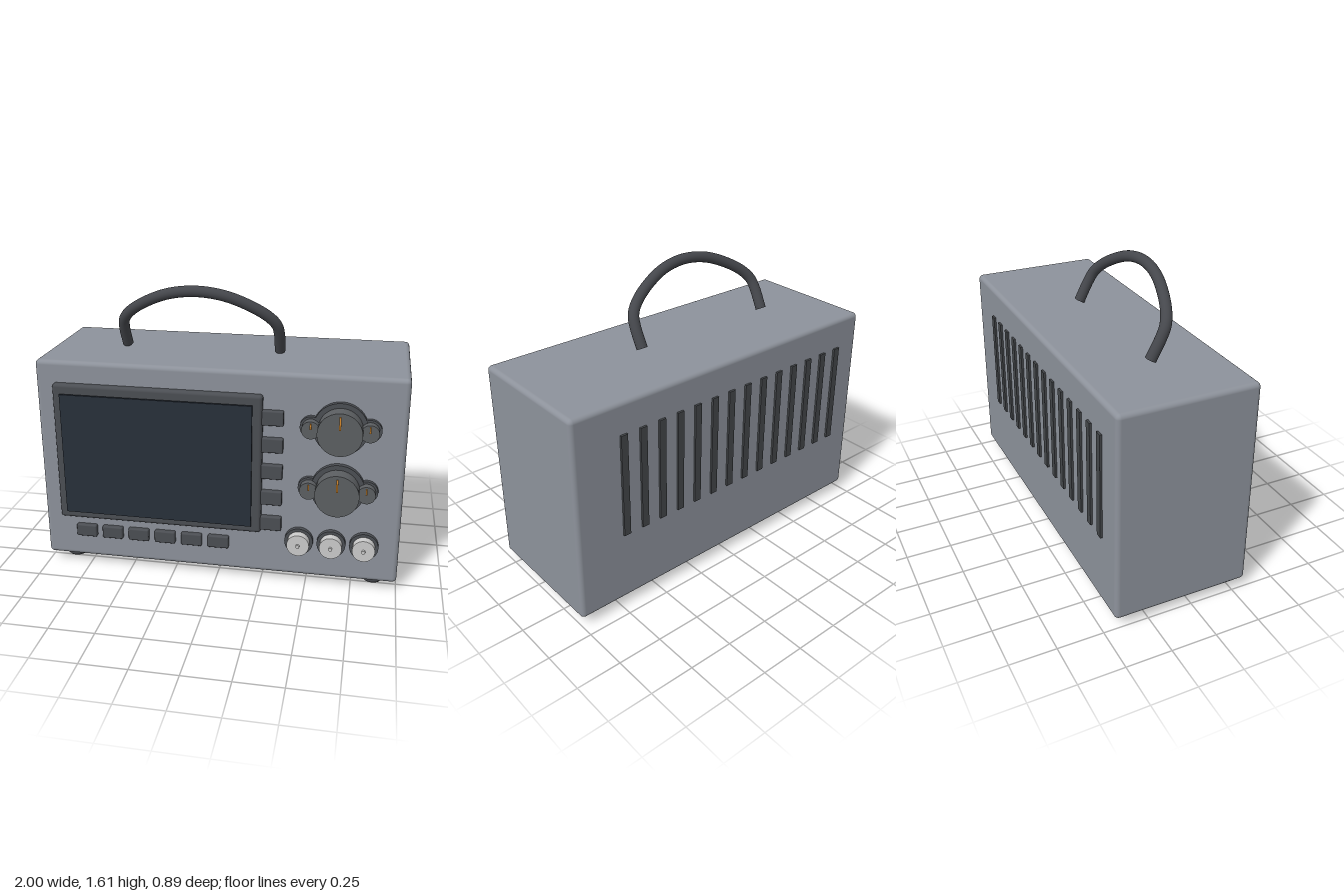
import * as THREE from 'three';
import { RoundedBoxGeometry } from 'three/addons/geometries/RoundedBoxGeometry.js';

const FRONT = 0.327, BACK = -0.433;

export function createModel() {
  const model = new THREE.Group();
  model.name = 'benchInstrument';
  const mat = (color) => new THREE.MeshStandardMaterial({ color });
  const shell = mat(0x8d929b), dark = mat(0x4b4e53), knobGrey = mat(0x5c5f62);
  const rubber = mat(0x45474c), glass = mat(0x28303a), metal = mat(0xcccccc);
  const orange = mat(0xd98a2b), slot = mat(0x44474a);

  const add = (name, geometry, material, x, y, z, parent = model) => {
    const mesh = new THREE.Mesh(geometry, material);
    mesh.name = name;
    mesh.position.set(x, y, z);
    parent.add(mesh);
    return mesh;
  };
  // Box spanning z0..z1, with optional rounded edges
  const box = (name, material, x, y, w, h, z0, z1, r = 0, parent = model) => add(name,
    r ? new RoundedBoxGeometry(w, h, z1 - z0, 3, r) : new THREE.BoxGeometry(w, h, z1 - z0),
    material, x, y, (z0 + z1) / 2, parent);
  // Cylinder lying along z, spanning z0..z1
  const disc = (name, material, x, y, r, z0, z1, parent = model) => add(name,
    new THREE.CylinderGeometry(r, r, z1 - z0, 40).rotateX(Math.PI / 2),
    material, x, y, (z0 + z1) / 2, parent);

  // Case
  box('case', shell, 0, 0.635, 2, 1.17, BACK, FRONT, 0.025);

  // Display: bezel with a thin glass panel standing just in front of it
  box('screenBezel', dark, -0.325, 0.7025, 1.15, 0.795, FRONT - 0.02, 0.36, 0.018);
  box('screenGlass', glass, -0.325, 0.7025, 1.05, 0.695, 0.373, 0.387);

  // Keys beside and below the display
  for (let i = 0; i < 5; i++)
    box('sideKey', dark, 0.302, 0.976 - i * 0.153, 0.118, 0.083, FRONT - 0.01, 0.353, 0.008);
  for (let i = 0; i < 6; i++)
    box('bottomKey', dark, -0.755 + i * 0.153, 0.222, 0.118, 0.072, FRONT - 0.01, 0.353, 0.008);

  // Rotary control: collar, knob and pointer mark
  const rotary = (name, x, y, collarR, knobR, knobZ, markOffset, markW, markH) => {
    const group = new THREE.Group();
    group.name = name;
    model.add(group);
    disc('collar', dark, x, y, collarR, FRONT - 0.005, collarR > 0.1 ? 0.355 : 0.351, group);
    disc('knob', knobGrey, x, y, knobR, FRONT, knobZ, group);
    box('pointer', orange, x, y + markOffset, markW, markH, knobZ - 0.005, knobZ + 0.008, 0, group);
  };
  for (const y of [0.941, 0.597]) {
    rotary('largeKnob', 0.658, y, 0.143, 0.117, 0.437, 0.063, 0.01, 0.07);
    for (const s of [-1, 1])
      rotary('smallKnob', 0.658 + s * 0.152, y, 0.06, 0.048, 0.395, 0.022, 0.008, 0.032);
  }

  // Input sockets
  for (let i = 0; i < 3; i++) {
    const x = 0.46 + i * 0.1765, y = 0.27;
    disc('socketCollar', dark, x, y, 0.078, FRONT - 0.005, 0.353);
    disc('socketBarrel', metal, x, y, 0.061, FRONT, 0.4);
    disc('socketPin', metal, x, y, 0.01, 0.39, 0.414);
  }

  // Vent bars on the back
  for (let i = 0; i < 14; i++)
    box('backVent', slot, -0.823 + i * 0.1175, 0.751, 0.04, 0.588, BACK - 0.012, BACK + 0.01);

  // Feet with a chamfered lower edge
  const footShape = [[0, 0], [0.05, 0], [0.057, 0.008], [0.057, 0.06]]
    .map(([r, y]) => new THREE.Vector2(r, y));
  const footGeometry = new THREE.LatheGeometry(footShape, 32);
  for (const x of [-0.87, 0.87])
    for (const z of [0.204, -0.302]) add('foot', footGeometry, rubber, x, 0, z);

  // Carrying handle, tilted forward about its base
  const handle = new THREE.Group();
  handle.name = 'handle';
  handle.position.set(-0.148, 1.236, -0.05);
  handle.rotation.x = THREE.MathUtils.degToRad(27.4);
  model.add(handle);
  const half = [[0.437, 0], [0.437, 0.12], [0.426, 0.18], [0.385, 0.236], [0.29, 0.306], [0.15, 0.37]];
  const path = [
    ...half.map(([x, y]) => new THREE.Vector3(-x, y, 0)),
    new THREE.Vector3(0, 0.392, 0),
    ...half.slice().reverse().map(([x, y]) => new THREE.Vector3(x, y, 0)),
  ];
  const grip = new THREE.TubeGeometry(new THREE.CatmullRomCurve3(path), 96, 0.03, 20);
  add('grip', grip, rubber, 0, 0, 0, handle);
  for (const s of [-1, 1])
    add('gripEnd', new THREE.CircleGeometry(0.03, 20).rotateX(Math.PI / 2), rubber, s * 0.437, 0, 0, handle);

  return model;
}
